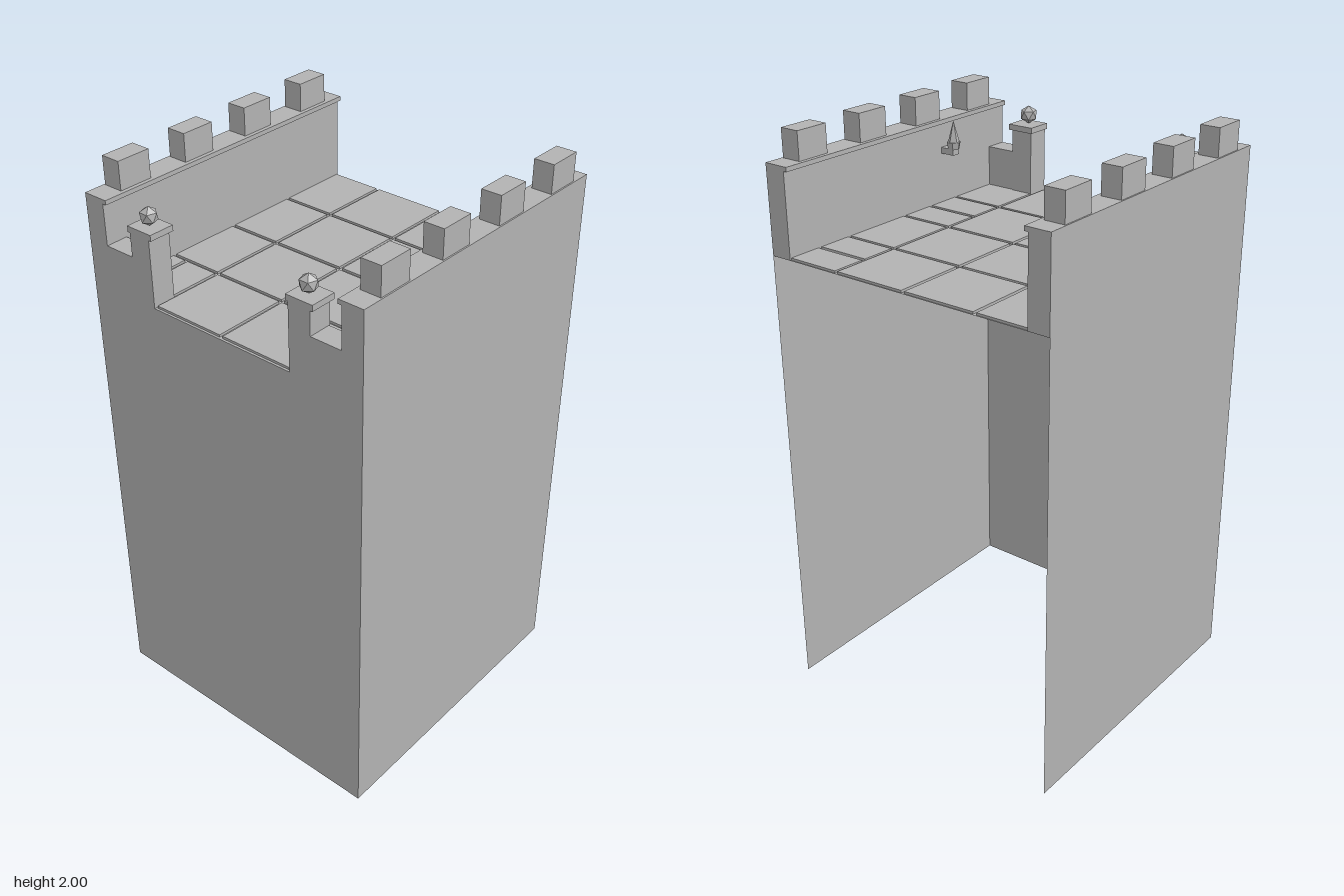
import * as THREE from 'three';

const H = 0.538;      // half width of the tower
const FLOOR = 1.605;  // height of the floor slab

export function createModel() {
  const tower = new THREE.Group();
  tower.name = 'tower';
  const stone = new THREE.MeshStandardMaterial({ color: 0xb2b2b2, side: THREE.DoubleSide });
  stone.name = 'grey stone';

  const add = (name, geometry, x = 0, y = 0, z = 0) => {
    const mesh = new THREE.Mesh(geometry, stone);
    mesh.name = name;
    mesh.position.set(x, y, z);
    tower.add(mesh);
    return mesh;
  };
  // Box given by its limits on each axis
  const box = (name, x0, x1, y0, y1, z0, z1) =>
    add(name, new THREE.BoxGeometry(Math.abs(x1 - x0), y1 - y0, z1 - z0),
      (x0 + x1) / 2, (y0 + y1) / 2, (z0 + z1) / 2);

  // Thin shell: front and two sides, open at the back and below
  add('frontWall', new THREE.PlaneGeometry(2 * H, FLOOR), 0, FLOOR / 2, H);
  for (const s of [-1, 1]) {
    add('sideWall', new THREE.PlaneGeometry(2 * H, FLOOR), s * H, FLOOR / 2, 0).rotation.y = s * Math.PI / 2;
  }
  add('floorSlab', new THREE.PlaneGeometry(2 * H, 2 * H), 0, FLOOR, 0).rotation.x = -Math.PI / 2;

  // Raised floor tiles separated by narrow grooves
  const tile = (x0, x1, z0, z1) => box('floorTile', x0, x1, FLOOR, FLOOR + 0.008, z0, z1);
  const rows = [[-0.533, -0.278], [-0.266, -0.009], [0.004, 0.262], [0.274, 0.53]];
  for (const [z0, z1] of rows) {
    tile(-0.266, -0.007, z0, z1);
    tile(0.005, 0.264, z0, z1);
  }
  for (const [z0, z1] of rows.slice(0, 3)) tile(-0.462, -0.278, z0, z1);
  tile(-0.462, -0.412, 0.274, 0.46);
  tile(-0.399, -0.278, 0.274, 0.46);
  for (const [z0, z1] of [[-0.533, -0.414], [-0.4, -0.278], [-0.266, -0.009],
    [0.004, 0.126], [0.14, 0.262], [0.274, 0.46]]) tile(0.274, 0.462, z0, z1);

  for (const s of [-1, 1]) {
    // Side parapet with a projecting cap and four merlons
    box('sideParapet', s * 0.462, s * H, FLOOR, 1.89, -H, H);
    box('parapetCap', s * 0.449, s * H, 1.89, 1.905, -H, H);
    for (const z of [-0.408, -0.137, 0.132, 0.402]) {
      box('merlon', s * 0.463, s * 0.533, 1.905, 2, z - 0.061, z + 0.061);
    }
    // Low front parapet ending in a capped pillar
    box('frontParapet', s * 0.35, s * 0.462, FLOOR, 1.752, 0.46, H);
    box('pillar', s * 0.272, s * 0.352, FLOOR, 1.832, 0.456, H);
    box('pillarCap', s * 0.263, s * 0.361, 1.832, 1.852, 0.447, H);

    // Faceted finial, one corner pointing up
    const ball = new THREE.IcosahedronGeometry(0.031, 0);
    ball.rotateZ(Math.atan(2 / (1 + Math.sqrt(5))));
    ball.rotateY(-Math.PI / 2);
    add('finial', ball, s * 0.311, 1.884, 0.495);
  }

  // Wall torch: bracket, cup and pointed flame
  box('torchBracket', 0.41, 0.462, 1.785, 1.806, 0.197, 0.227);
  const cup = new THREE.CylinderGeometry(0.025, 0.02, 0.025, 6).toNonIndexed();
  cup.computeVertexNormals();
  add('torchCup', cup, 0.419, 1.817, 0.212).rotation.y = Math.PI / 6;
  const flame = new THREE.ConeGeometry(0.021, 0.075, 5).toNonIndexed();
  flame.computeVertexNormals();
  add('torchFlame', flame, 0.419, 1.865, 0.212).rotation.y = Math.PI;

  return tower;
}
